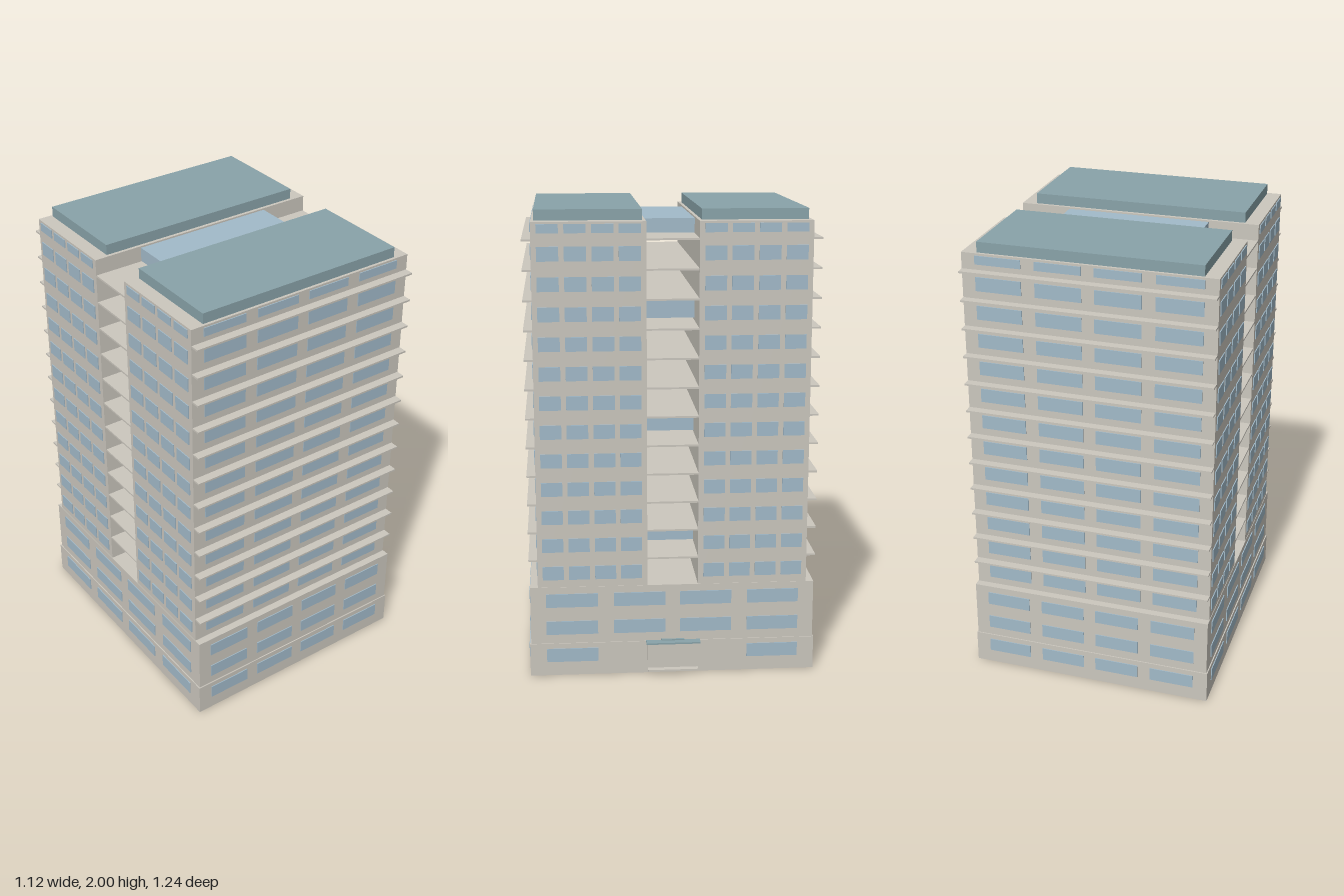
import * as THREE from 'three';

const mat = (name, color) => {
  const m = new THREE.MeshStandardMaterial({ color });
  m.name = name;
  return m;
};

export function createModel() {
  const concrete = mat('concrete', 0xcbc7be);
  const glass = mat('window glass', 0xa2bac9);
  const roofMat = mat('teal roofing', 0x89a3a9);
  const root = new THREE.Group();
  root.name = 'towerBlock';

  // Box given by its min and max on each axis
  function box(name, material, [x0, x1], [y0, y1], [z0, z1], parent = root) {
    const m = new THREE.Mesh(new THREE.BoxGeometry(x1 - x0, y1 - y0, z1 - z0), material);
    m.position.set((x0 + x1) / 2, (y0 + y1) / 2, (z0 + z1) / 2);
    m.name = name;
    parent.add(m);
    return m;
  }

  const X0 = -0.552, X1 = 0.516;      // tower ends
  const GAP = 0.109, TZ = 0.579;      // tower inner and outer faces
  const FLOOR = 0.1238, TOP = 1.955;

  // Podium: ground floor slightly wider than the two floors above
  const ground = { x0: -0.559, x1: 0.522, z: 0.617 };
  const podium = { x0: X0 - 0.002, x1: X1 + 0.002, z: 0.612 };
  box('groundFloor', concrete, [ground.x0, ground.x1], [0, 0.145], [-ground.z, ground.z]);
  box('podium', concrete, [podium.x0, podium.x1], [0.145, 0.4], [-podium.z, podium.z]);

  // Twin slabs with roof caps
  for (const s of [1, -1]) {
    const span = (a, b) => (s > 0 ? [a, b] : [-b, -a]);
    box('tower', concrete, [X0, X1], [0.4, TOP], span(GAP, TZ));
    box('roofCap', roofMat, [-0.49, 0.453], [TOP, 2], span(0.123, 0.567));
  }

  // Floor plates: balconies outside, open decks across the gap
  for (let i = 0; i < 12; i++) {
    const y = 0.52 + i * FLOOR;
    box('floorPlate', concrete, [X0 + 0.001, X1 - 0.001], [y - 0.004, y + 0.004], [-0.617, 0.617]);
  }

  // Glazed bridges between the towers
  for (const y of [[0.53, 0.628], [1.03, 1.122], [1.525, 1.617], [1.888, 1.948]]) {
    box('glassBridge', glass, [-0.334, 0.297], y, [-GAP, GAP]);
  }

  // Windows
  const windows = new THREE.Group();
  windows.name = 'windows';
  root.add(windows);
  const T = 0.004;
  const longCols = [-0.495, -0.242, 0.008, 0.262];
  const sideCols = [0.132, 0.243, 0.355, 0.467];
  for (let i = 0; i < 16; i++) {
    const yc = 0.092 + i * FLOOR;
    const y = i === 15 ? [1.909, 1.946] : [yc - 0.03, yc + 0.03];
    const part = i === 0 ? ground : i < 3 ? podium : { x0: X0, x1: X1, z: TZ };

    // front and back
    for (const x of longCols) {
      box('window', glass, [x, x + 0.196], y, [part.z, part.z + T], windows);
      box('window', glass, [x, x + 0.196], y, [-part.z - T, -part.z], windows);
    }
    // two ends: wide panes on the podium, narrow ones on the towers
    for (const s of [1, -1]) {
      const cols = i < 3 ? [0.032, 0.323] : sideCols;
      const w = i < 3 ? 0.222 : 0.09;
      for (const c of cols) {
        const z = s > 0 ? [c, c + w] : [-c - w, -c];
        if (i > 0 || c > 0.1) box('window', glass, [part.x1, part.x1 + T], y, z, windows);
        box('window', glass, [part.x0 - T, part.x0], y, z, windows);
      }
    }
  }

  // Entrance on the left end
  const entrance = new THREE.Group();
  entrance.name = 'entrance';
  root.add(entrance);
  box('doorPanel', concrete, [ground.x1, 0.53], [0.02, 0.143], [-GAP, GAP], entrance);
  box('doorStep', concrete, [ground.x1, 0.557], [0.018, 0.024], [-GAP, GAP], entrance);
  box('canopy', roofMat, [ground.x1, 0.56], [0.142, 0.149], [-0.118, 0.116], entrance);
  box('canopyRib', roofMat, [ground.x1, 0.532], [0.149, 0.154], [-0.05, 0.05], entrance);

  return root;
}
